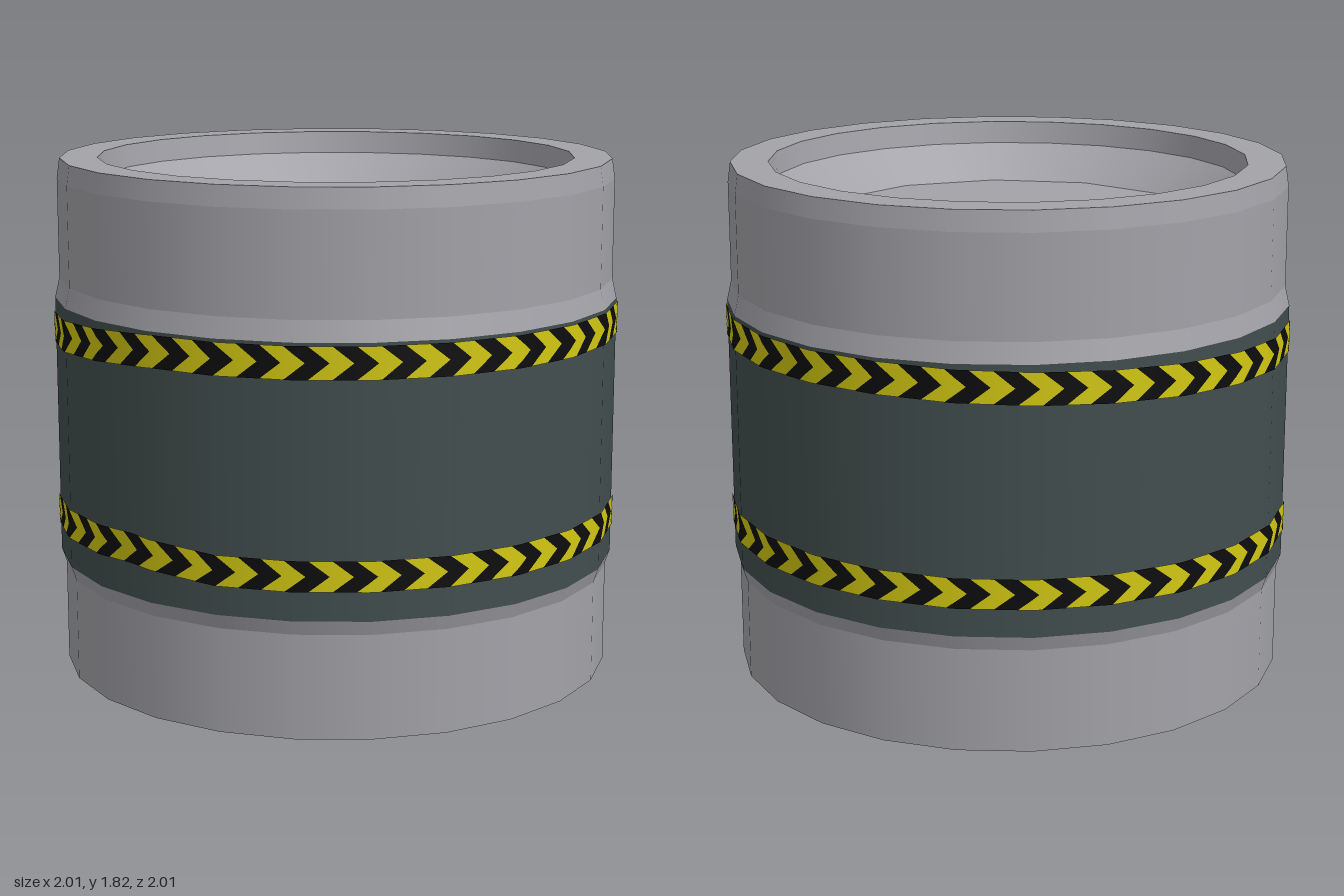
import * as THREE from 'three';
import { mergeGeometries } from 'three/addons/utils/BufferGeometryUtils.js';

const SIDES = 24;
const FLOOR_R = 0.68;
const STEP = (Math.PI * 2) / SIDES;

const material = (name, color) => Object.assign(new THREE.MeshStandardMaterial({ color }), { name });

// One lathe per profile segment keeps the profile edges sharp and the sides smooth.
function turned(profile) {
  const parts = [];
  for (let i = 0; i < profile.length - 1; i++) {
    const pts = [profile[i], profile[i + 1]].map(([r, y]) => new THREE.Vector2(r, y));
    const geo = new THREE.LatheGeometry(pts, SIDES);
    const pos = geo.attributes.position;
    // The recessed floors have half as many sides: pull every other corner onto the chord.
    for (let v = 0; v < pos.count; v++) {
      const r = Math.hypot(pos.getX(v), pos.getZ(v));
      const column = Math.floor(v / 2);
      if (Math.abs(r - FLOOR_R) < 0.001 && column % 2 === 1) {
        const k = Math.cos(STEP);
        pos.setXYZ(v, pos.getX(v) * k, pos.getY(v), pos.getZ(v) * k);
      }
    }
    parts.push(geo);
  }
  return mergeGeometries(parts);
}

// Linear blend through [degrees, height] keys, flat outside them.
function blend(keys, deg) {
  for (let i = 0; i < keys.length - 1; i++) {
    const [a, va] = keys[i], [b, vb] = keys[i + 1];
    if (deg >= a && deg <= b) return va + ((vb - va) * (deg - a)) / (b - a);
  }
  return 0;
}

// Every other chevron of a hazard band, wrapped on the faceted drum.
function chevrons(y0, y1, keys, phase) {
  const COUNT = 40, COLS = 4, ROWS = 4, LEAN = 0.07;
  const pitch = (Math.PI * 2) / COUNT;
  const positions = [], normals = [], index = [];
  for (let c = 0; c < COUNT; c++) {
    const base = positions.length / 3;
    for (let j = 0; j <= ROWS; j++) {
      for (let i = 0; i <= COLS; i++) {
        const t = j / ROWS;
        const tip = LEAN * (1 - Math.abs(2 * t - 1));
        const a = (c + phase + (i / COLS) * 0.5) * pitch + tip;
        const deg = THREE.MathUtils.euclideanModulo(THREE.MathUtils.radToDeg(a) + 180, 360) - 180;
        const local = THREE.MathUtils.euclideanModulo(a, STEP) - STEP / 2;
        const r = Math.cos(STEP / 2) / Math.cos(local) + 0.004;
        const y = y0 + (y1 - y0) * t + blend(keys, deg);
        positions.push(r * Math.sin(a), y, r * Math.cos(a));
        normals.push(Math.sin(a), 0, Math.cos(a));
        if (i < COLS && j < ROWS) {
          const p = base + j * (COLS + 1) + i, q = p + COLS + 1;
          index.push(p, p + 1, q + 1, p, q + 1, q);
        }
      }
    }
  }
  const geo = new THREE.BufferGeometry();
  geo.setAttribute('position', new THREE.Float32BufferAttribute(positions, 3));
  geo.setAttribute('normal', new THREE.Float32BufferAttribute(normals, 3));
  geo.setIndex(index);
  return geo;
}

export function createModel() {
  const group = new THREE.Group();
  group.name = 'drum';
  const grey = material('grey metal', 0xa3a2a8);
  const slate = material('dark slate', 0x424e4e);
  const yellow = material('hazard yellow', 0xd2c812);
  const black = material('hazard black', 0x0d0d0f);
  const add = (name, geo, mat) => {
    const mesh = new THREE.Mesh(geo, mat);
    mesh.name = name;
    group.add(mesh);
  };

  // Recessed base, foot ring and lower wall
  add('lowerShell', turned([
    [0, 0.15], [FLOOR_R, 0.15], [0.84, 0], [0.982, 0], [0.982, 0.36], [0.998, 0.41],
  ]), grey);

  // Painted middle
  add('middleBand', turned([[0.998, 0.41], [0.998, 1.33]]), slate);

  // Upper wall, rim and dished lid
  add('upperShell', turned([
    [0.998, 1.33], [0.982, 1.4], [0.982, 1.75], [0.972, 1.82],
    [0.84, 1.82], [0.828, 1.74], [FLOOR_R, 1.62], [0, 1.62],
  ]), grey);

  // Hazard bands, sagging a little on one side
  const upperKeys = [[-180, 0], [-135, -0.02], [-90, -0.045], [-50, -0.035], [-14, 0]];
  const lowerKeys = [[-180, 0], [-90, -0.008], [-50, 0.005], [-20, 0.02], [0, 0]];
  for (const [name, y0, y1, keys] of [
    ['upperHazard', 1.21, 1.32, upperKeys],
    ['lowerHazard', 0.51, 0.615, lowerKeys],
  ]) {
    add(name + 'Yellow', chevrons(y0, y1, keys, 0), yellow);
    add(name + 'Black', chevrons(y0, y1, keys, 0.5), black);
  }
  return group;
}
